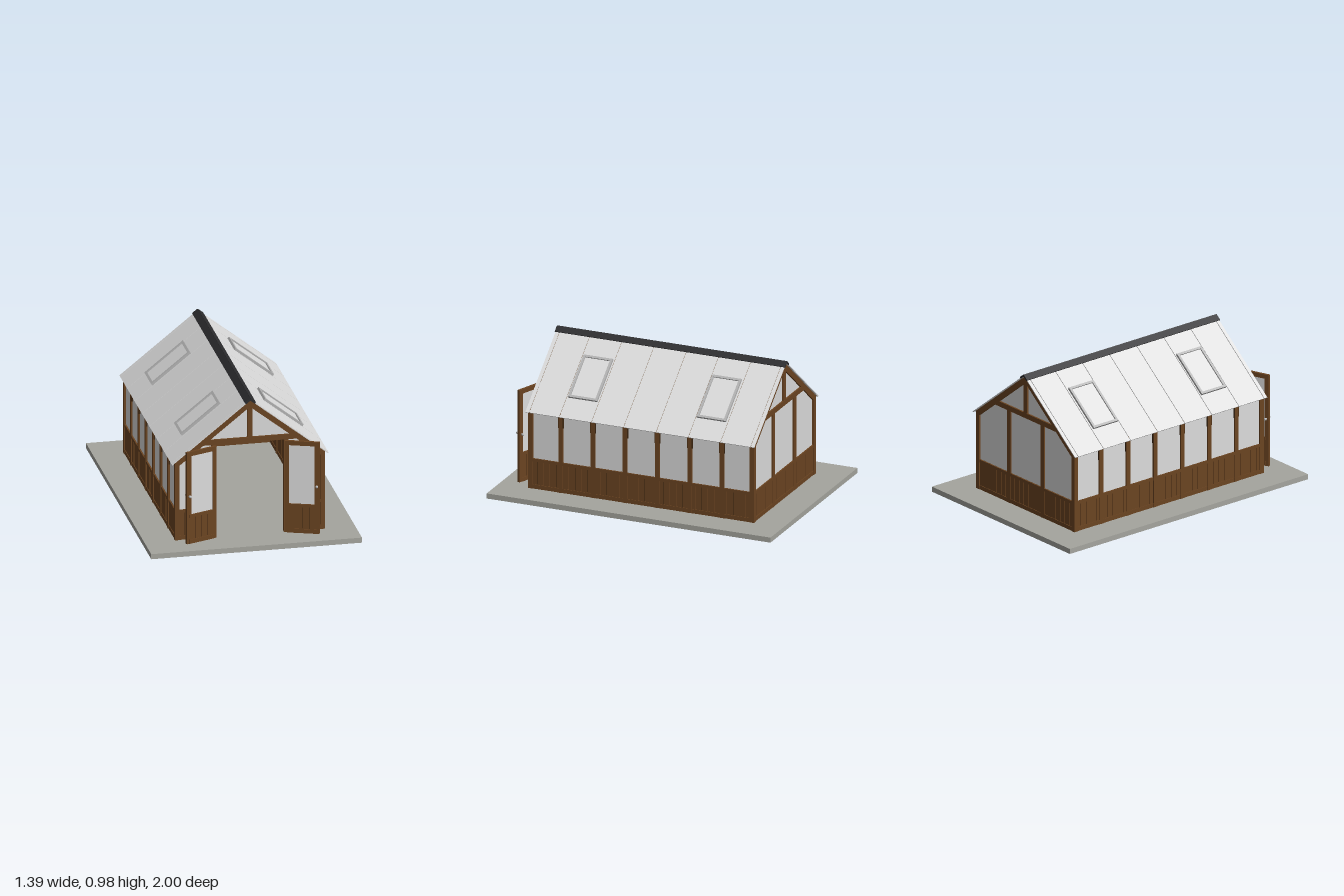
import * as THREE from 'three';

const mat = (name, color, side = THREE.FrontSide) => {
  const m = new THREE.MeshStandardMaterial({ color, side });
  m.name = name;
  return m;
};

export function createModel() {
  const wood = mat('wood', 0x6b4421);
  const groove = mat('dark wood', 0x3e2711);
  const stone = mat('stone', 0xa5a59e);
  const glass = mat('glass', 0xdcdcdc, THREE.DoubleSide);
  const black = mat('ridge black', 0x2b2b2d);
  const metal = mat('metal', 0xb4b4b4);

  const FLOOR = 0.035, RAIL = 0.242, HALF = 0.495, END = 0.795;
  const RIDGE = 0.972, SLOPE = 0.796, ANGLE = Math.atan(SLOPE);
  const roofY = x => RIDGE - Math.abs(x) * SLOPE;

  const group = (name, parent) => {
    const g = new THREE.Group();
    g.name = name;
    parent.add(g);
    return g;
  };
  // Box given by its lower and upper limits on each axis
  const box = (parent, name, m, [x0, x1], [y0, y1], [z0, z1]) => {
    const mesh = new THREE.Mesh(new THREE.BoxGeometry(x1 - x0, y1 - y0, z1 - z0), m);
    mesh.position.set((x0 + x1) / 2, (y0 + y1) / 2, (z0 + z1) / 2);
    mesh.name = name;
    parent.add(mesh);
    return mesh;
  };
  // Flat outline in x and y, extruded along z and centred on z
  const plate = (parent, name, m, points, depth, z) => {
    const shape = new THREE.Shape(points.map(p => new THREE.Vector2(...p)));
    const geo = new THREE.ExtrudeGeometry(shape, { depth, bevelEnabled: false });
    const mesh = new THREE.Mesh(geo, m);
    mesh.position.z = z - depth / 2;
    mesh.name = name;
    parent.add(mesh);
  };
  // Boarded lower panel running along local x, centred on local z = 0
  const boarding = (parent, x0, x1, y0 = FLOOR, y1 = RAIL) => {
    box(parent, 'boardBacking', groove, [x0, x1], [y0, y1], [-0.004, 0.004]);
    const n = Math.max(1, Math.round((x1 - x0) / 0.045)), w = (x1 - x0) / n;
    for (let i = 0; i < n; i++)
      box(parent, 'board', wood, [x0 + i * w + 0.0015, x0 + (i + 1) * w - 0.0015], [y0, y1], [-0.008, 0.008]);
    box(parent, 'bottomRail', wood, [x0, x1], [y0, y0 + 0.028], [-0.012, 0.012]);
    box(parent, 'middleRail', wood, [x0, x1], [y1 - 0.02, y1], [-0.013, 0.013]);
  };

  const model = new THREE.Group();
  model.name = 'greenhouse';
  box(model, 'baseSlab', stone, [-0.695, 0.695], [0, FLOOR], [-1, 1]);

  // Side walls: posts, boarding and panes between them
  const bays = [-0.78, -0.568, -0.341, -0.114, 0.114, 0.341, 0.568, 0.78];
  for (const s of [-1, 1]) {
    const wall = group(s > 0 ? 'leftWall' : 'rightWall', model);
    wall.position.x = s * 0.48;
    wall.rotation.y = s * Math.PI / 2;
    boarding(wall, -0.78, 0.78);
    box(wall, 'wallPane', glass, [-0.78, 0.78], [RAIL, 0.565], [-0.003, 0.003]);
    box(wall, 'eavePlate', wood, [-0.78, 0.78], [0.55, 0.575], [-0.012, 0.008]);
    for (const b of bays) {
      box(wall, 'post', wood, [b - 0.015, b + 0.015], [FLOOR, 0.58], [-0.015, 0.015]);
      if (Math.abs(b) < 0.7)
        box(wall, 'postBracket', groove, [b - 0.019, b + 0.019], [0.48, 0.565], [-0.013, 0.013]);
    }
  }

  // Gable ends: rafters, cross beam, king post and panes
  const gable = (name, z) => {
    const g = group(name, model);
    g.position.z = z;
    const t = 0.052;
    plate(g, 'gableRafters', wood, [
      [0, RIDGE - 0.005], [HALF, roofY(HALF) - 0.005], [HALF, roofY(HALF) - t],
      [0, RIDGE - t], [-HALF, roofY(HALF) - t], [-HALF, roofY(HALF) - 0.005]], 0.03, 0);
    box(g, 'crossBeam', wood, [-0.325, 0.325], [0.675, 0.71], [-0.015, 0.015]);
    box(g, 'kingPost', wood, [-0.017, 0.017], [0.7, 0.95], [-0.014, 0.014]);
    plate(g, 'gablePane', glass, [
      [-0.355, 0.685], [0.355, 0.685], [0, RIDGE - 0.01]], 0.006, 0);
    for (const s of [-1, 1])
      box(g, 'cornerPost', wood, [s * 0.48 - 0.015, s * 0.48 + 0.015], [FLOOR, 0.575], [-0.0155, 0.0155]);
    return g;
  };

  const back = gable('backGable', -0.78);
  boarding(back, -0.48, 0.48);
  plate(back, 'backPane', glass, [
    [-0.48, RAIL], [0.48, RAIL], [0.48, 0.57], [0.34, 0.69], [-0.34, 0.69], [-0.48, 0.57]], 0.006, 0);
  for (const s of [-1, 1])
    box(back, 'backPost', wood, [s * 0.168 - 0.017, s * 0.168 + 0.017], [FLOOR, 0.69], [-0.014, 0.014]);

  const front = gable('frontGable', 0.78);
  for (const s of [-1, 1]) {
    const x = (a, b) => (s > 0 ? [a, b] : [-b, -a]);
    boarding(front, ...x(0.24, 0.48));
    plate(front, 'frontPane', glass, [
      [s * 0.24, RAIL], [s * 0.48, RAIL], [s * 0.48, 0.57], [s * 0.34, 0.69], [s * 0.24, 0.69]], 0.006, 0);
    box(front, 'doorPost', wood, x(0.225, 0.255), [FLOOR, 0.69], [-0.015, 0.015]);
  }

  // Open double doors
  for (const s of [-1, 1]) {
    const door = group(s > 0 ? 'leftDoor' : 'rightDoor', model);
    door.position.set(s * 0.228, 0, 0.81);
    door.rotation.y = s > 0 ? -0.35 : Math.PI + 0.35;
    const W = 0.225, y0 = 0.042, y1 = 0.675, d = [-0.009, 0.009];
    boarding(door, 0.02, W - 0.02, y0, RAIL);
    box(door, 'doorPane', glass, [0.02, W - 0.02], [RAIL, 0.66], [-0.003, 0.003]);
    box(door, 'hingeStile', wood, [0, 0.028], [y0, y1], d);
    box(door, 'lockStile', wood, [W - 0.032, W], [y0, y1], d);
    box(door, 'doorTopRail', wood, [0.02, W - 0.02], [0.646, y1], d);
    // Knobs on both faces
    const spindle = new THREE.Mesh(new THREE.CylinderGeometry(0.004, 0.004, 0.05, 8), metal);
    spindle.rotation.x = Math.PI / 2;
    spindle.position.set(W - 0.015, 0.372, 0);
    spindle.name = 'knobSpindle';
    door.add(spindle);
    for (const k of [-1, 1]) {
      const knob = new THREE.Mesh(new THREE.SphereGeometry(0.009, 12, 8), metal);
      knob.position.set(W - 0.015, 0.372, k * 0.024);
      knob.name = 'doorKnob';
      door.add(knob);
    }
  }

  // Roof halves: local x runs down the slope, local y points outwards
  const LEN = 0.515 / Math.cos(ANGLE), ROOF_END = 0.808;
  const seams = [-ROOF_END, ...bays, ROOF_END];
  for (const s of [-1, 1]) {
    const turn = group(s > 0 ? 'leftRoof' : 'rightRoof', model);
    turn.position.y = RIDGE;
    turn.rotation.y = s > 0 ? 0 : Math.PI;
    const roof = group('roofSlope', turn);
    roof.rotation.z = -ANGLE;
    for (let i = 0; i < seams.length - 1; i++)
      box(roof, 'roofPane', glass, [0, LEN], [-0.003, 0.003], [seams[i] + 0.002, seams[i + 1] - 0.002]);
    for (const b of bays.slice(1, -1))
      box(roof, 'rafter', wood, [0.01, LEN - 0.03], [-0.036, -0.004], [b - 0.013, b + 0.013]);
    box(roof, 'ridgeCap', black, [-0.004, 0.04], [-0.003, 0.009], [-ROOF_END - 0.002, ROOF_END + 0.002]);
    // Roof vents
    for (const z of [-0.453, 0.453]) {
      const vent = group('roofVent', roof);
      const a = 0.18, b = 0.505, h = 0.103, w = 0.016, y = [0.002, 0.018];
      box(vent, 'ventPane', glass, [a + w, b - w], [0.003, 0.01], [z - h + w, z + h - w]);
      for (const x of [a, b - w]) box(vent, 'ventRail', metal, [x, x + w], y, [z - h, z + h]);
      for (const e of [z - h, z + h - w]) box(vent, 'ventStile', metal, [a + w, b - w], y, [e, e + w]);
    }
  }
  box(model, 'ridgeBeam', wood, [-0.012, 0.012], [RIDGE - 0.06, RIDGE - 0.014], [-END + 0.01, END - 0.01]);
  return model;
}
